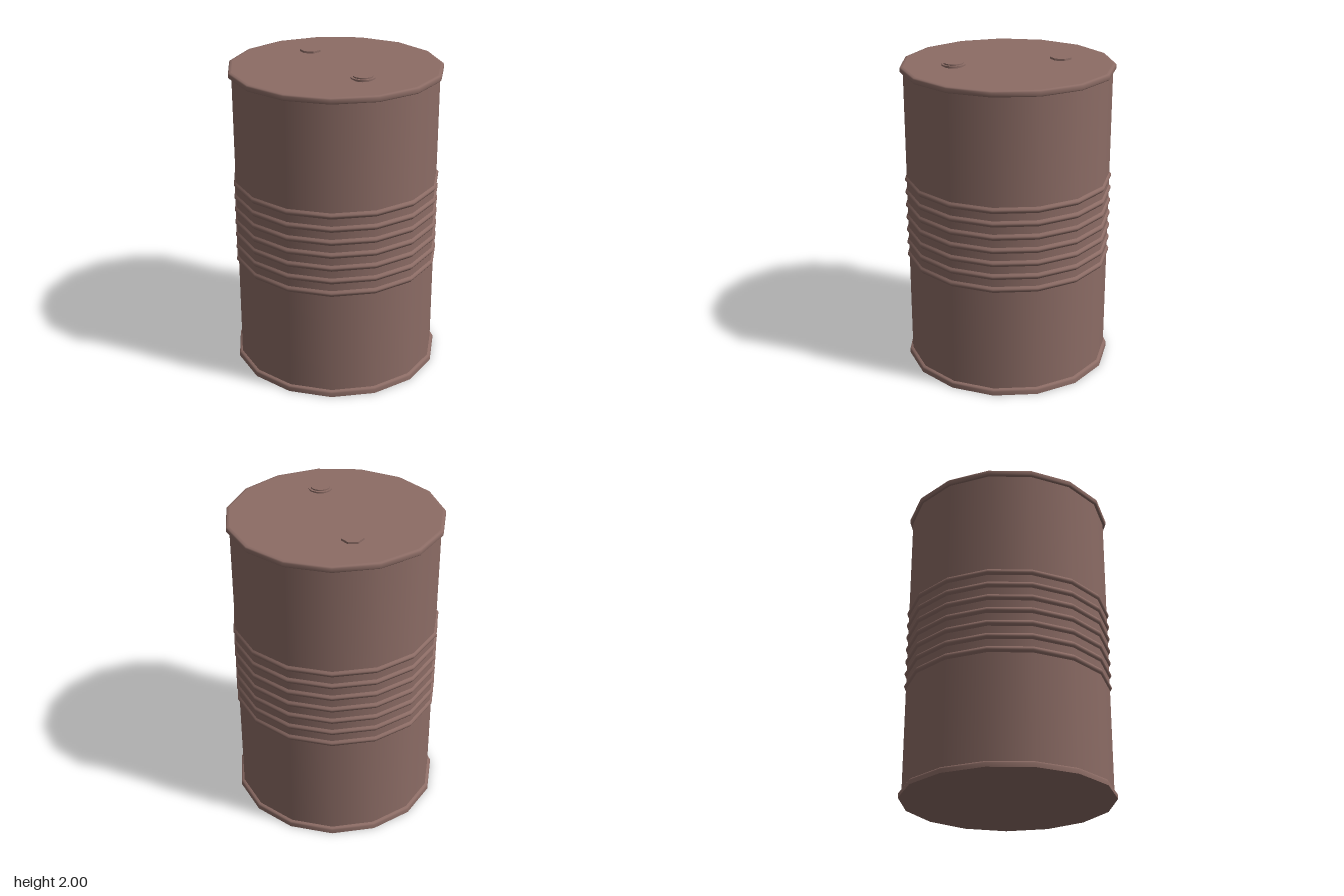
import * as THREE from 'three';

const SIDES = 15;
const CX = -0.0075; // the odd-sided drum's axis, so that its bounds are centred

export function createModel() {
  const drum = new THREE.Group();
  drum.name = 'drum';
  const paint = new THREE.MeshStandardMaterial({ color: 0x8c6c65 });
  paint.name = 'brownPaint';

  // Revolves a profile of [radius, y] points; the first corner lies on +x
  const turn = (name, profile, sides = SIDES, z = 0) => {
    const points = profile.map(([r, y]) => new THREE.Vector2(r, y));
    const mesh = new THREE.Mesh(new THREE.LatheGeometry(points, sides, Math.PI / 2), paint);
    mesh.name = name;
    mesh.position.set(CX, 0, z);
    drum.add(mesh);
    return mesh;
  };

  // Wall
  turn('wall', [[0.65, 0.03], [0.65, 1.945]]);

  // Ribs around the middle
  for (let i = 0; i < 7; i++) {
    const y = 0.73 + i * 0.086;
    turn('rib', [
      [0.649, y - 0.021], [0.656, y - 0.012], [0.662, y - 0.005],
      [0.662, y + 0.005], [0.656, y + 0.012], [0.649, y + 0.021],
    ]);
  }

  // Bottom rim and floor
  turn('bottomRim', [[0.67, 0], [0.67, 0.026], [0.664, 0.036], [0.649, 0.04]]);
  turn('floor', [[0, 0], [0.67, 0]]);

  // Top rim and lid
  turn('topRimUnderside', [[0.649, 1.938], [0.664, 1.938]]);
  turn('topRim', [[0.664, 1.938], [0.67, 1.945], [0.67, 1.966], [0.664, 1.973], [0.65, 1.975]]);
  turn('lid', [[0.65, 1.975], [0, 1.975]]);

  // Large round bung at the front: neck, flange and raised cap
  const bungZ = 0.345;
  turn('bungNeck', [[0.06, 1.974], [0.06, 1.983]], 24, bungZ);
  turn('bungFlangeUnderside', [[0.06, 1.983], [0.074, 1.983]], 24, bungZ);
  turn('bungFlange', [[0.074, 1.983], [0.074, 1.992]], 24, bungZ);
  turn('bungFlangeTop', [[0.074, 1.992], [0.06, 1.992]], 24, bungZ);
  turn('bungCapSide', [[0.06, 1.992], [0.06, 2]], 24, bungZ);
  turn('bungCapTop', [[0.06, 2], [0, 2]], 24, bungZ);

  // Small seven-sided vent plug at the back
  const plug = new THREE.Mesh(
    new THREE.CylinderGeometry(0.069, 0.069, 0.014, 7, 1, false, Math.PI / 2).toNonIndexed(), paint);
  plug.geometry.computeVertexNormals();
  plug.name = 'ventPlug';
  plug.position.set(CX, 1.981, -0.346);
  drum.add(plug);

  return drum;
}
